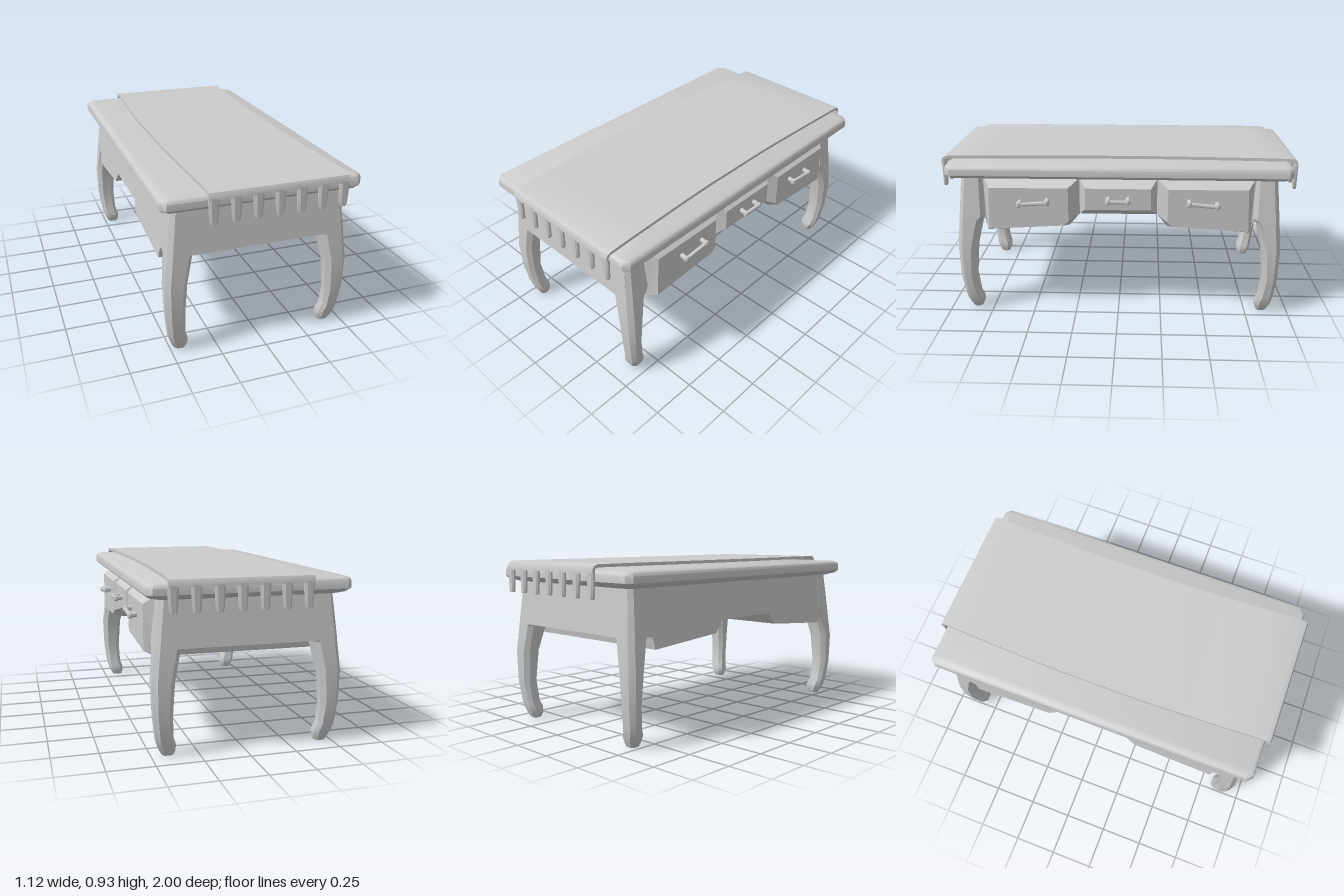
import * as THREE from 'three';
import { toCreasedNormals } from 'three/addons/utils/BufferGeometryUtils.js';

const CX = -0.017; // centre line of the table in x
const material = new THREE.MeshStandardMaterial({ color: 0xcccccc });

function part(parent, name, geometry, crease = 0.5) {
  const mesh = new THREE.Mesh(toCreasedNormals(geometry, crease), material);
  mesh.name = name;
  parent.add(mesh);
  return mesh;
}

// Closed solid through rings of [x, y, z] points with fan caps; faces always point outwards.
function loft(rings) {
  const n = rings[0].length, last = (rings.length - 1) * n;
  const pts = rings.flat().map(p => new THREE.Vector3(...p));
  const tris = [];
  for (let r = 0; r < rings.length - 1; r++) {
    for (let i = 0; i < n; i++) {
      const a = r * n + i, b = r * n + (i + 1) % n;
      tris.push([a, b, b + n], [a, b + n, a + n]);
    }
  }
  for (let i = 1; i < n - 1; i++) {
    tris.push([0, i + 1, i], [last, last + i, last + i + 1]);
  }
  let volume = 0;
  const cross = new THREE.Vector3();
  for (const [a, b, c] of tris) volume += pts[a].dot(cross.crossVectors(pts[b], pts[c]));
  if (volume < 0) tris.forEach(t => t.reverse());
  const geometry = new THREE.BufferGeometry().setFromPoints(pts);
  geometry.setIndex(tris.flat());
  return geometry;
}

// Rectangle in the ground plane with cut corners
function cutRect(x0, x1, z0, z1, y, c) {
  return [
    [x0 + c, y, z0], [x1 - c, y, z0], [x1, y, z0 + c], [x1, y, z1 - c],
    [x1 - c, y, z1], [x0 + c, y, z1], [x0, y, z1 - c], [x0, y, z0 + c],
  ];
}

function rod(parent, name, a, b, radius) {
  const from = new THREE.Vector3(...a), to = new THREE.Vector3(...b);
  const dir = to.clone().sub(from);
  const mesh = part(parent, name, new THREE.CylinderGeometry(radius, radius, dir.length(), 8), 1);
  mesh.position.copy(from).add(to).multiplyScalar(0.5);
  mesh.quaternion.setFromUnitVectors(new THREE.Vector3(0, 1, 0), dir.normalize());
}

function addTop(group) {
  const rings = [[0.815, 0.06], [0.828, 0.018], [0.845, 0], [0.88, 0], [0.896, 0.006], [0.905, 0.022]];
  part(group, 'tableTop', loft(rings.map(([y, d]) =>
    cutRect(-0.56 + d, 0.53 - d, -0.968 + d, 0.966 - d, y, 0.03))), 0.75);
}

function addLegs(group) {
  // y, outer x, inner x, outer z, inner z, corner cut
  const sections = [
    [0.82, 0.468, 0.33, 0.893, 0.77, 0.022],
    [0.585, 0.495, 0.335, 0.915, 0.765, 0.025],
    [0.56, 0.497, 0.362, 0.917, 0.79, 0.025],
    [0.4, 0.515, 0.395, 0.93, 0.825, 0.026],
    [0.22, 0.51, 0.407, 0.926, 0.84, 0.024],
    [0.1, 0.495, 0.402, 0.91, 0.828, 0.02],
    [0.06, 0.486, 0.388, 0.902, 0.814, 0.02],
    [0.025, 0.472, 0.388, 0.89, 0.814, 0.02],
    [0, 0.457, 0.397, 0.878, 0.825, 0.014],
  ];
  for (const sx of [-1, 1]) {
    for (const sz of [-1, 1]) {
      const rings = sections.map(([y, xo, xi, zo, zi, c]) =>
        cutRect(xi, xo, zi, zo, y, c).map(([x, h, z]) => [CX + sx * x, h, sz * z]));
      part(group, (sz > 0 ? 'front' : 'back') + (sx > 0 ? 'Left' : 'Right') + 'Leg', loft(rings));
    }
  }
}

function addFrame(group) {
  // End aprons, leaning outwards like the legs
  for (const s of [-1, 1]) {
    const ring = (y, w, z) => [[CX - w, y, s * 0.75], [CX + w, y, s * 0.75], [CX + w, y, s * z], [CX - w, y, s * z]];
    part(group, s > 0 ? 'frontApron' : 'backApron', loft([ring(0.82, 0.445, 0.894), ring(0.567, 0.468, 0.917)]));
  }
  // Drawer case with a stepped underside
  const half = [[0.82, 0.82], [0.81, 0.567], [0.77, 0.565], [0.757, 0.5], [0.28, 0.535], [0.22, 0.605]];
  const outline = [...half, ...half.map(([z, y]) => [-z, y]).reverse()];
  const shape = new THREE.Shape(outline.map(p => new THREE.Vector2(...p)));
  const geometry = new THREE.ExtrudeGeometry(shape, { depth: 0.92, bevelEnabled: false });
  geometry.rotateY(Math.PI / 2).translate(-0.484, 0, 0);
  const pos = geometry.attributes.position;
  for (let i = 0; i < pos.count; i++) {
    if (pos.getX(i) < 0) pos.setX(i, pos.getX(i) - (0.82 - pos.getY(i)) * 0.115);
  }
  part(group, 'drawerCase', geometry);
}

function addHandle(group, name, y, z, width, tilt) {
  const handle = new THREE.Group();
  handle.name = name;
  group.add(handle);
  const ends = [-1, 1].map(s => [0.54, y + s * tilt, z + s * width / 2]);
  rod(handle, 'grip', ends[0], ends[1], 0.012);
  for (const [ex, ey, ez] of ends) {
    rod(handle, 'post', [0.49, ey + 0.008, ez], [ex, ey, ez], 0.014);
    const knob = part(handle, 'knob', new THREE.SphereGeometry(0.018, 8, 6), 1.2);
    knob.position.set(ex - 0.002, ey, ez);
  }
}

function addDrawers(group) {
  // Bevelled fronts: base outline and raised face as [z, y]
  const front = (name, base, face, x, s) => part(group, name, loft([
    base.map(([z, y]) => [0.38, y, s * z]),
    base.map(([z, y]) => [0.447, y, s * z]),
    face.map(([z, y]) => [x, y, s * z]),
  ]), 0.4);
  for (const s of [-1, 1]) {
    const side = s > 0 ? 'front' : 'back';
    front(side + 'Drawer',
      [[0.765, 0.815], [0.22, 0.815], [0.22, 0.605], [0.28, 0.535], [0.757, 0.5]],
      [[0.725, 0.77], [0.28, 0.77], [0.28, 0.575], [0.305, 0.55], [0.735, 0.525]], 0.504, s);
    addHandle(group, side + 'DrawerHandle', 0.69, s * 0.475, 0.155, -s * 0.006);
  }
  front('middleDrawer',
    [[0.22, 0.815], [-0.22, 0.815], [-0.22, 0.605], [0.22, 0.605]],
    [[0.185, 0.77], [-0.185, 0.77], [-0.185, 0.645], [0.185, 0.645]], 0.5, 1);
  addHandle(group, 'middleDrawerHandle', 0.705, 0, 0.11, 0);
}

function addRunner(group) {
  // Long cloth: outer z, outer y, inner z, inner y, sideways shift
  const half = [
    [1, 0.885, 0.986, 0.885, 0], [0.998, 0.908, 0.984, 0.903, 0],
    [0.99, 0.924, 0.978, 0.912, 0], [0.965, 0.933, 0.96, 0.917, 0],
    [0.75, 0.934, 0.75, 0.917, -0.01], [0.5, 0.934, 0.5, 0.917, -0.02], [0.25, 0.934, 0.25, 0.917, -0.028],
  ];
  const path = [...half, ...half.map(([a, b, c, d, e]) => [-a, b, -c, d, e]).reverse()];
  part(group, 'tableRunner', loft(path.map(([zo, yo, zi, yi, d]) => [
    [-0.328 + d, yo, zo], [0.43 + d, yo, zo], [0.43 + d, yi, zi], [-0.328 + d, yi, zi],
  ])), 0.7);
  // Hanging fringe at both ends
  for (const s of [-1, 1]) {
    for (let i = 0; i < 7; i++) {
      const x = -0.3 + i * 0.1175;
      const ring = ([y, w]) => [
        [x - w, y, s * 0.982], [x + w, y, s * 0.982], [x + w, y, s * 0.992],
        [x + w * 0.55, y, s], [x - w * 0.55, y, s], [x - w, y, s * 0.992],
      ];
      part(group, 'fringe', loft([[0.895, 0.028], [0.84, 0.026], [0.768, 0.021], [0.757, 0.016]].map(ring)));
    }
  }
}

export function createModel() {
  const group = new THREE.Group();
  group.name = 'desk';
  addTop(group);
  addLegs(group);
  addFrame(group);
  addDrawers(group);
  addRunner(group);
  return group;
}
